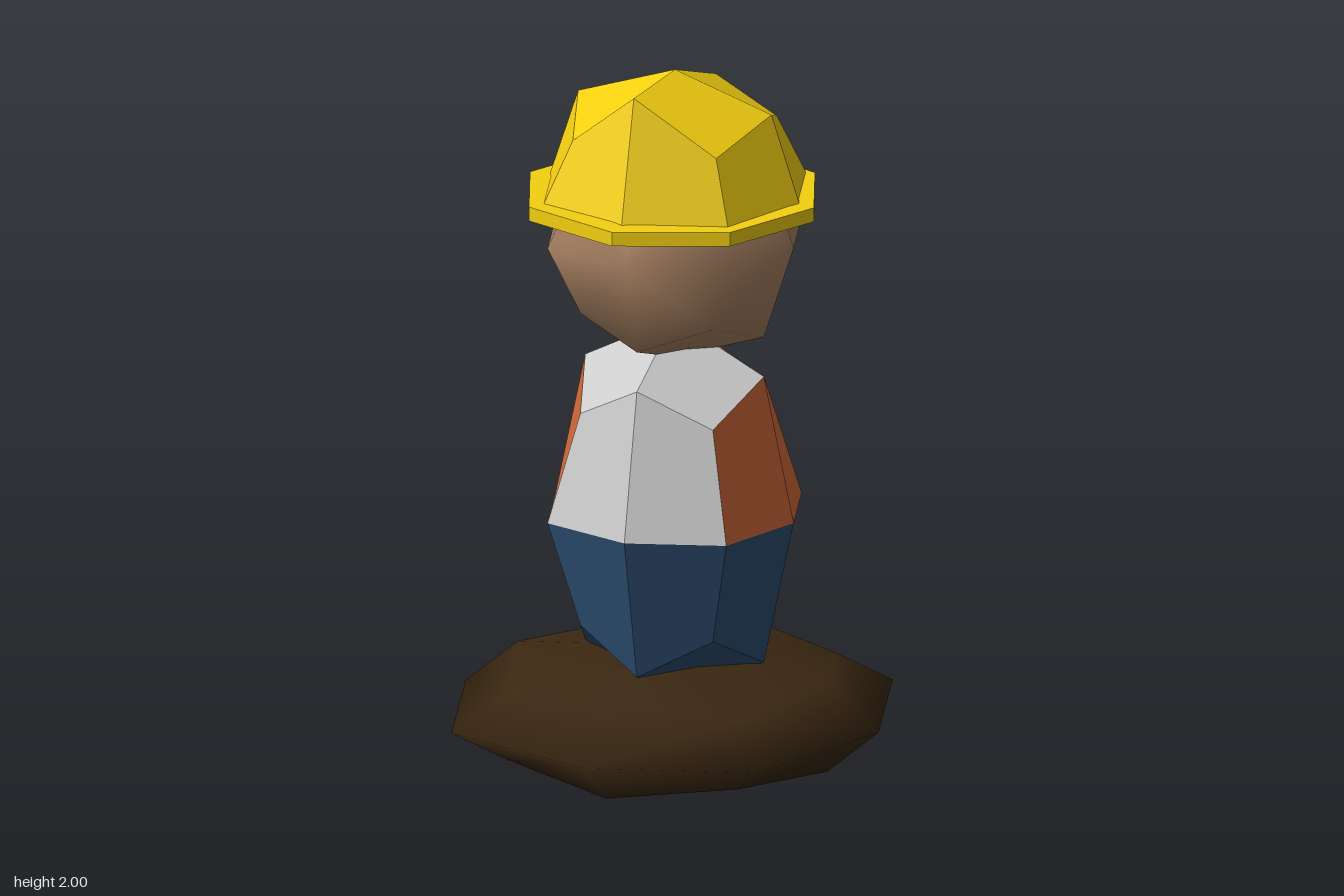
import * as THREE from 'three';
import { mergeVertices } from 'three/addons/utils/BufferGeometryUtils.js';

// A once-subdivided cube rounded into a 24-quad ball.
// keep(axis, s) filters quads by cube side (axis) and octant signs (s = [x, y, z]).
// adjust(v) may move a unit vertex before scaling.
function quadBall(radii, { keep = () => true, adjust = () => {}, smooth = false } = {}) {
  const pull = [0, 1, 0.75, 0.556]; // face centre, edge middle, corner
  const positions = [], normals = [];
  for (let axis = 0; axis < 3; axis++) {
    const b = (axis + 1) % 3, c = (axis + 2) % 3;
    for (let octant = 0; octant < 8; octant++) {
      const s = [octant & 1 ? 1 : -1, octant & 2 ? 1 : -1, octant & 4 ? 1 : -1];
      if (!keep(axis, s)) continue;
      const quad = [[0, 0], [1, 0], [1, 1], [0, 1]].map(([p, q]) => {
        const v = new THREE.Vector3();
        v.setComponent(axis, s[axis]).setComponent(b, p * s[b]).setComponent(c, q * s[c]);
        v.multiplyScalar(pull[1 + p + q]);
        adjust(v);
        return v.multiply(radii);
      });
      if (s[0] * s[1] * s[2] < 0) [quad[1], quad[3]] = [quad[3], quad[1]];
      // one shared normal for each quad
      const normal = quad[2].clone().sub(quad[0])
        .cross(quad[3].clone().sub(quad[1])).normalize();
      for (const i of [0, 1, 2, 0, 2, 3]) {
        positions.push(...quad[i].toArray());
        normals.push(...normal.toArray());
      }
    }
  }
  let geometry = new THREE.BufferGeometry();
  geometry.setAttribute('position', new THREE.Float32BufferAttribute(positions, 3));
  if (smooth) {
    geometry = mergeVertices(geometry, 1e-4);
    geometry.computeVertexNormals();
  } else {
    geometry.setAttribute('normal', new THREE.Float32BufferAttribute(normals, 3));
  }
  return geometry;
}

export function createModel() {
  const model = new THREE.Group();
  model.name = 'seatedWorker';

  const add = (name, geometry, color, y, z = 0, flatShading = false) => {
    const material = new THREE.MeshStandardMaterial({ color, flatShading });
    const mesh = new THREE.Mesh(geometry, material);
    mesh.name = name;
    mesh.position.set(0, y, z);
    model.add(mesh);
  };

  // Soft flat mound at the bottom
  add('base', quadBall(new THREE.Vector3(0.615, 0.175, 0.617), { smooth: true }), 0x3a2711, 0.175);

  // Body: trousers below the middle, jacket above it, shirt panel in front
  const bodySize = new THREE.Vector3(0.355, 0.547, 0.353);
  const isFront = (axis, s) => s[2] > 0 && axis !== 0;
  const bodyParts = [
    ['trousers', 0x2f5075, (axis, s) => s[1] < 0],
    ['jacket', 0xd0683a, (axis, s) => s[1] > 0 && !isFront(axis, s)],
    ['shirt', 0xcccccc, (axis, s) => s[1] > 0 && isFront(axis, s)],
  ];
  for (const [name, color, keep] of bodyParts) {
    add(name, quadBall(bodySize, { keep }), color, 0.74, -0.018);
  }

  // Head
  add('head', quadBall(new THREE.Vector3(0.355, 0.355, 0.353), { smooth: true }), 0xac8464, 1.53, -0.018);

  // Helmet: upper half of a ball with the front crest raised to crown height
  const helmet = quadBall(new THREE.Vector3(0.384, 0.38, 0.384), {
    keep: (axis, s) => s[1] > 0,
    adjust: (v) => { if (v.x === 0 && v.y > 0.1 && v.z > 0.1) v.y = 1; },
  });
  add('helmetShell', helmet, 0xf5d010, 1.62, -0.02);
  add('helmetBrim', new THREE.CylinderGeometry(0.423, 0.423, 0.04, 8), 0xf5d010, 1.64, 0, true);

  return model;
}
